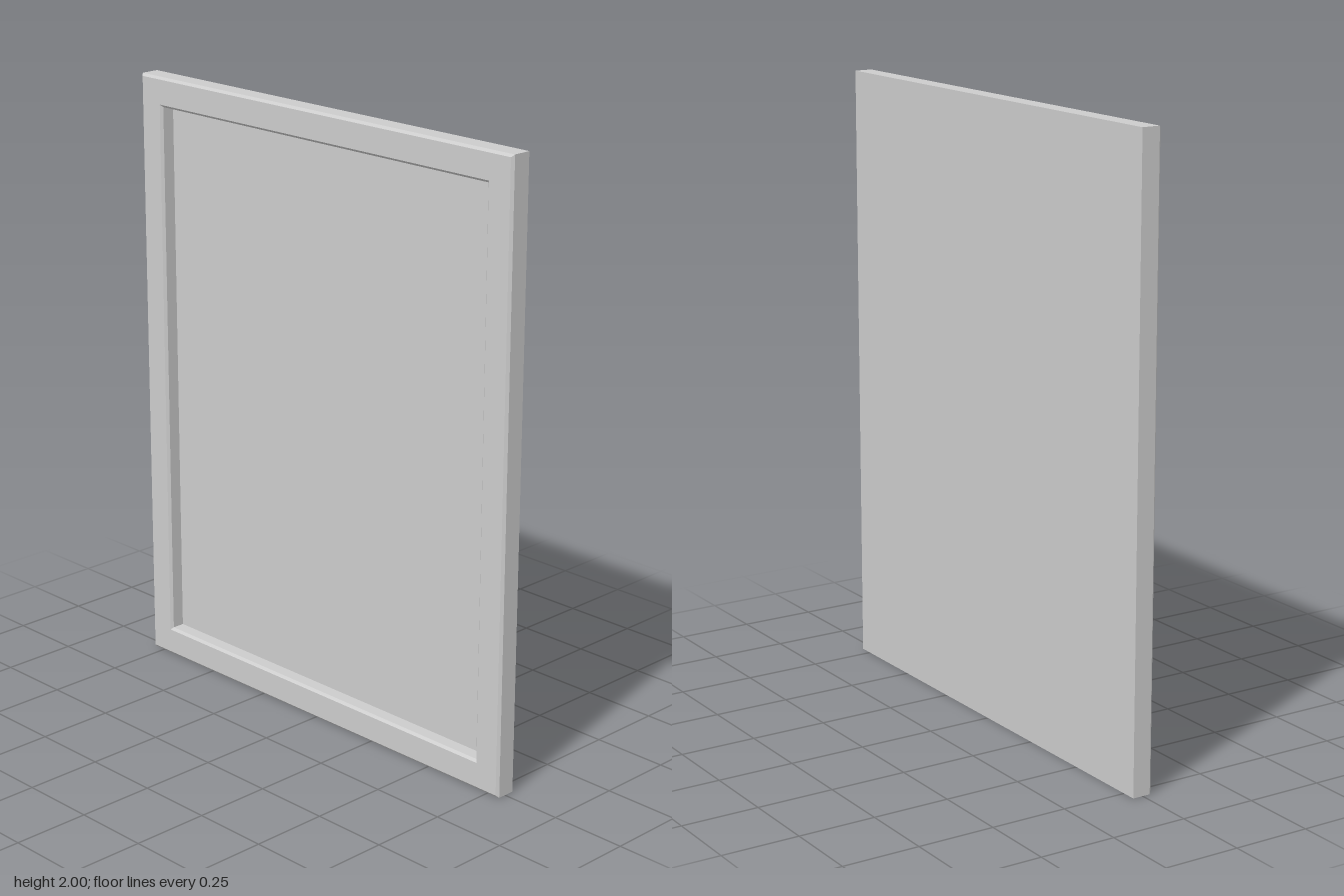
import * as THREE from 'three';

const HALF_W = 0.797, HALF_H = 1, BACK = -0.034, FRONT = 0.034, FLOOR = -0.015;
const BEVEL = 0.008, BORDER = 0.089;

// Rectangular moulding: sweeps an [inset, z] profile round the outline with mitred corners
function rectSweep(profile) {
  const corners = [[-1, -1], [1, -1], [1, 1], [-1, 1]];
  const point = ([inset, z], [sx, sy]) => [sx * (HALF_W - inset), HALF_H + sy * (HALF_H - inset), z];
  const pos = [];
  for (let i = 0; i < profile.length - 1; i++) {
    for (let k = 0; k < 4; k++) {
      const c0 = corners[k], c1 = corners[(k + 1) % 4];
      const a = point(profile[i], c0), b = point(profile[i], c1);
      const c = point(profile[i + 1], c1), d = point(profile[i + 1], c0);
      pos.push(...a, ...b, ...c, ...a, ...c, ...d);
    }
  }
  const geometry = new THREE.BufferGeometry();
  geometry.setAttribute('position', new THREE.Float32BufferAttribute(pos, 3));
  geometry.computeVertexNormals();
  return geometry;
}

export function createModel() {
  const group = new THREE.Group();
  const material = new THREE.MeshStandardMaterial({ color: 0xcccccc, flatShading: true });
  const add = (name, geometry) => {
    const mesh = new THREE.Mesh(geometry, material);
    mesh.name = name;
    group.add(mesh);
    return mesh;
  };

  // Frame: outer side, outer bevel, flat face, inner bevel, recess wall
  add('frame', rectSweep([
    [0, BACK],
    [0, FRONT - BEVEL],
    [BEVEL, FRONT],
    [BORDER, FRONT],
    [BORDER + BEVEL, FRONT - BEVEL],
    [BORDER + BEVEL, FLOOR],
  ]));

  // Recessed panel inside the frame
  const inset = BORDER + BEVEL;
  add('panel', new THREE.PlaneGeometry(2 * (HALF_W - inset), 2 * (HALF_H - inset)))
    .position.set(0, HALF_H, FLOOR);

  // Flat back
  const back = add('back', new THREE.PlaneGeometry(2 * HALF_W, 2 * HALF_H));
  back.position.set(0, HALF_H, BACK);
  back.rotation.y = Math.PI;

  return group;
}
